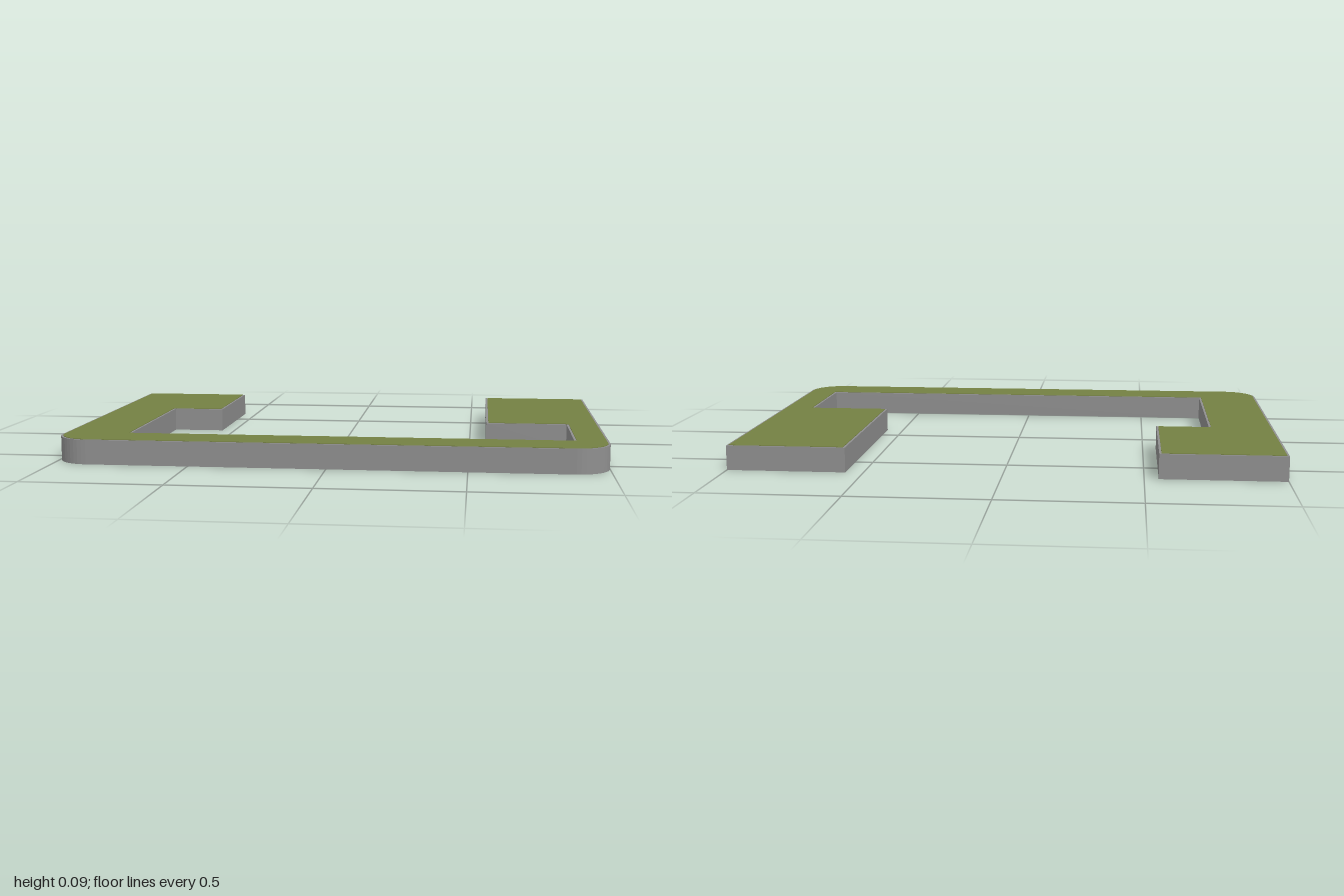
import * as THREE from 'three';

const HEIGHT = 0.092;
const RIM = 0.008;

// Plan outline of the U-shaped slab, drawn with shape y = -z and shrunk inwards by d
function outline(d) {
  const r = 0.125 - d, x = 1 - d, front = -0.667 + d, back = 0.667 - d;
  const s = new THREE.Shape();
  s.moveTo(-x, back);
  s.lineTo(-x, front + r);
  s.absarc(-x + r, front + r, r, Math.PI, Math.PI * 1.5, false);
  s.absarc(x - r, front + r, r, Math.PI * 1.5, Math.PI * 2, false);
  s.lineTo(x, back);
  // right-hand arm, inner edge of the front strip, other arm
  s.lineTo(0.565 + d, back);
  s.lineTo(0.565 + d, -0.104 + d);
  s.lineTo(0.877 + d, -0.104 + d);
  s.lineTo(0.877 + d, -0.494 - d);
  s.lineTo(-0.754 - d, -0.494 - d);
  s.lineTo(-0.754 - d, 0.168 + d);
  s.lineTo(-0.551 - d, 0.168 + d);
  s.lineTo(-0.551 - d, back);
  s.closePath();
  return s;
}

function slab(name, inset, y, depth, material) {
  const geometry = new THREE.ExtrudeGeometry(outline(inset), { depth, bevelEnabled: false, curveSegments: 6 });
  geometry.rotateX(-Math.PI / 2);
  const mesh = new THREE.Mesh(geometry, material);
  mesh.name = name;
  mesh.position.y = y;
  return mesh;
}

export function createModel() {
  const stone = new THREE.MeshStandardMaterial({ color: 0x8f8f8f });
  stone.name = 'stone grey';
  const grass = new THREE.MeshStandardMaterial({ color: 0x748043 });
  grass.name = 'grass green';

  const model = new THREE.Group();
  model.name = 'groundSlab';
  // Grey base with a thin green surface leaving a narrow kerb around it
  model.add(slab('base', 0, 0, HEIGHT - 0.002, stone));
  model.add(slab('grassSurface', RIM, HEIGHT - 0.002, 0.002, grass));
  return model;
}
